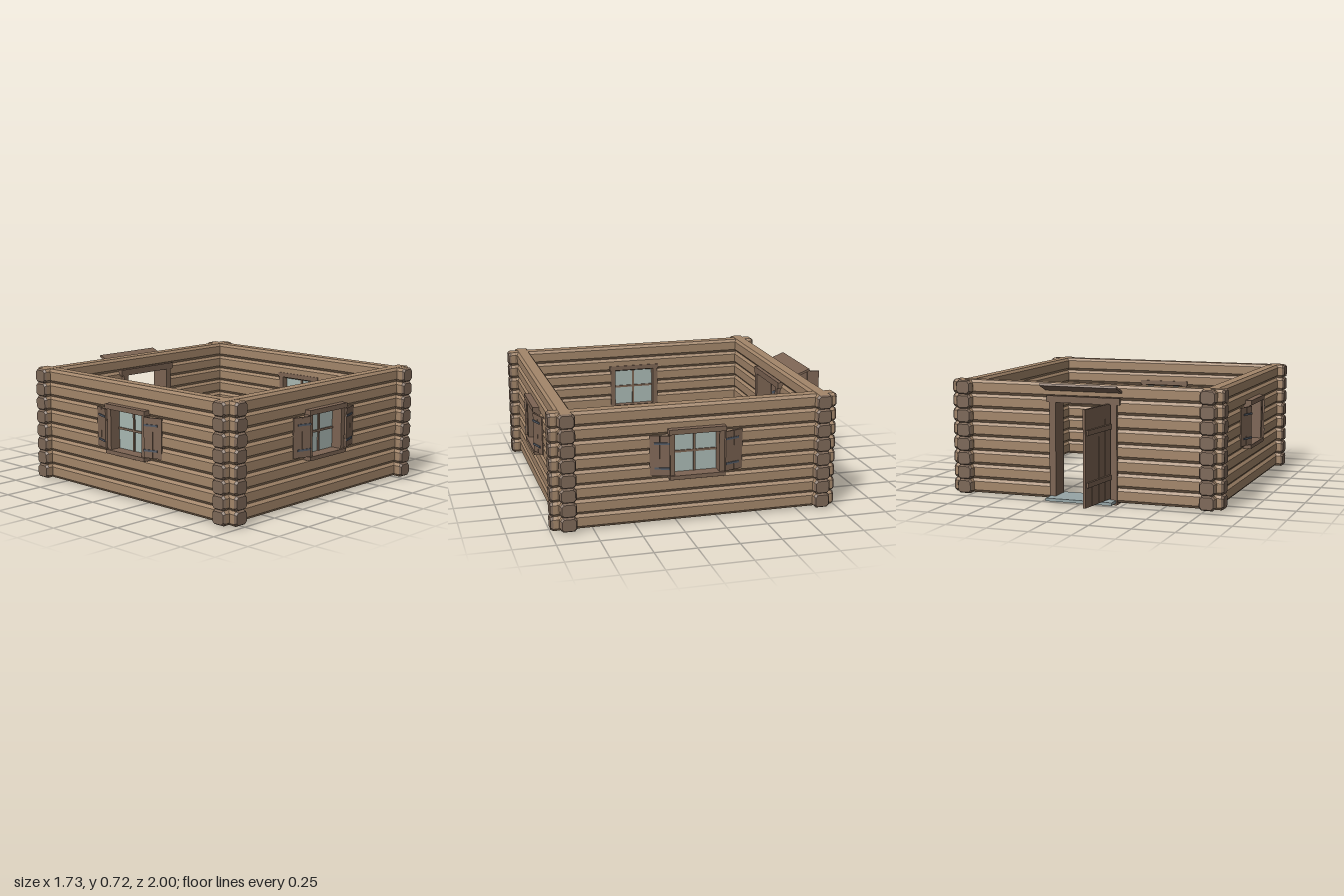
import * as THREE from 'three';

const mat = (name, color) => {
  const m = new THREE.MeshStandardMaterial({ color });
  m.name = name;
  return m;
};

export function createModel() {
  const wood = mat('logWood', 0xa3866a);
  const endWood = mat('logEndWood', 0x7d6858);
  const trim = mat('trimWood', 0x7c6453);
  const glass = mat('windowGlass', 0xa9b8b3);
  const metal = mat('darkIron', 0x545b66);
  const stone = mat('thresholdStone', 0x96a5a6);
  const model = new THREE.Group();
  model.name = 'logCabinWalls';

  const box = (parent, name, m, [w, h, d], [x, y, z]) => {
    const mesh = new THREE.Mesh(new THREE.BoxGeometry(w, h, d), m);
    mesh.name = name;
    mesh.position.set(x, y, z);
    parent.add(mesh);
    return mesh;
  };

  // Log cross-section: a chamfered rectangle, as [z, y]
  const W = 0.045, H = 0.0435;
  const section = [[W, 0.027], [0.031, H], [-0.031, H], [-W, 0.027],
    [-W, -0.027], [-0.031, -H], [0.031, -H], [W, -0.027]];

  // Log along x from a to b; free ends flare, then bevel to a darker cap
  const logGeometry = (a, b, freeA, freeB) => {
    const flare = [[0, 0.9, 0.82], [0.014, 1.1, 1], [0.04, 1.1, 1], [0.05, 1, 1]];
    const endA = freeA ? flare.map(([d, w, h]) => [a + d, w, h]) : [[a, 1, 1]];
    const endB = freeB ? flare.map(([d, w, h]) => [b - d, w, h]).reverse() : [[b, 1, 1]];
    const rings = [...endA, ...endB].map(([x, w, h]) =>
      section.map(([z, y]) => [x, y * h, z * w]));
    const body = [], caps = [], n = section.length, last = rings.length - 1;
    for (let i = 0; i < last; i++) {
      const out = (freeA && i === 0) || (freeB && i === last - 1) ? caps : body;
      for (let j = 0; j < n; j++) {
        const k = (j + 1) % n;
        const p = rings[i][j], q = rings[i + 1][j], r = rings[i + 1][k], s = rings[i][k];
        out.push(...p, ...q, ...r, ...p, ...r, ...s);
      }
    }
    for (let j = 1; j < n - 1; j++) {
      caps.push(...rings[0][0], ...rings[0][j], ...rings[0][j + 1]);
      caps.push(...rings[last][0], ...rings[last][j + 1], ...rings[last][j]);
    }
    const g = new THREE.BufferGeometry();
    g.setAttribute('position', new THREE.Float32BufferAttribute([...body, ...caps], 3));
    g.addGroup(0, body.length / 3, 0);
    g.addGroup(body.length / 3, caps.length / 3, 1);
    g.computeVertexNormals();
    return g;
  };

  // A wall of eight logs; rows from first to last are cut by an opening
  const wall = (name, a, b, cut) => {
    const g = new THREE.Group();
    g.name = name;
    for (let i = 0; i < 8; i++) {
      const open = i >= cut.first && i <= cut.last;
      const spans = open
        ? [[a, cut.from, true, false], [cut.to, b, false, true]]
        : [[a, b, true, true]];
      for (const s of spans) {
        const m = new THREE.Mesh(logGeometry(...s), [wood, endWood]);
        m.name = 'wallLog';
        m.position.y = 0.056 + i * 0.0877;
        g.add(m);
      }
    }
    model.add(g);
    return g;
  };
  const windowCut = (c) => ({ first: 3, last: 5, from: c - 0.15, to: c + 0.15 });
  wall('frontWall', -0.865, 0.865, windowCut(0)).position.z = 0.9;
  wall('backWall', -0.865, 0.865, { first: 0, last: 6, from: -0.195, to: 0.195 }).position.z = -0.645;
  for (const s of [-1, 1]) {
    const side = wall(s > 0 ? 'leftWall' : 'rightWall', -0.735, 1, windowCut(0.135));
    side.rotation.y = -Math.PI / 2;
    side.position.set(s * 0.775, -0.001, 0);
  }

  // Window facing +z, with glazing bars and two open shutters
  const makeWindow = (name, x, z, turn) => {
    const g = new THREE.Group();
    g.name = name;
    g.position.set(x, 0.42, z);
    g.rotation.y = turn;
    box(g, 'windowHeader', trim, [0.345, 0.03, 0.135], [0, 0.14, 0.0175]);
    box(g, 'windowSill', trim, [0.335, 0.024, 0.135], [0, -0.136, 0.0175]);
    box(g, 'windowPane', glass, [0.28, 0.26, 0.006], [0, 0, 0]);
    box(g, 'verticalBar', trim, [0.013, 0.26, 0.022], [0, 0, 0]);
    box(g, 'horizontalBar', trim, [0.28, 0.013, 0.02], [0, 0, 0]);
    for (const s of [-1, 1]) {
      box(g, 'windowJamb', trim, [0.032, 0.26, 0.12], [s * 0.15, 0, 0.012]);
      const shutter = new THREE.Group();
      shutter.name = 'shutter';
      shutter.position.set(s * 0.165, 0, 0.08);
      shutter.rotation.y = s * 0.31;
      for (const px of [0.03, 0.09])
        box(shutter, 'shutterPlank', trim, [0.058, 0.24, 0.012], [s * px, 0, 0]);
      for (const y of [-0.075, 0.075])
        box(shutter, 'shutterStrap', metal, [0.09, 0.012, 0.006], [s * 0.047, y, 0.008]);
      g.add(shutter);
    }
    model.add(g);
  };
  makeWindow('frontWindow', 0, 0.9, 0);
  makeWindow('leftWindow', 0.775, 0.135, Math.PI / 2);
  makeWindow('rightWindow', -0.775, 0.135, -Math.PI / 2);

  // Doorway
  for (const s of [-1, 1])
    box(model, 'doorPost', trim, [0.04, 0.61, 0.125], [s * 0.195, 0.305, -0.64]);
  box(model, 'doorHeader', trim, [0.465, 0.04, 0.125], [0, 0.618, -0.64]);
  box(model, 'threshold', stone, [0.42, 0.018, 0.22], [0, 0.021, -0.67]);
  const canopy = box(model, 'doorCanopy', trim, [0.485, 0.014, 0.115], [0, 0.692, -0.732]);
  canopy.rotation.x = 0.37;

  // Open plank door, hinged on the model's right
  const door = new THREE.Group();
  door.name = 'door';
  door.position.set(-0.165, 0.32, -0.675);
  door.rotation.y = 1.45;
  for (let i = 0; i < 4; i++)
    box(door, 'doorPlank', trim, [0.079, 0.57, 0.016], [0.041 + i * 0.0815, 0, 0]);
  for (const y of [-0.153, 0.15]) {
    box(door, 'doorBatten', trim, [0.3, 0.03, 0.012], [0.163, y, -0.014]);
    box(door, 'doorStrap', metal, [0.24, 0.018, 0.008], [0.125, y, 0.011]);
  }
  box(door, 'doorLatch', metal, [0.025, 0.045, 0.018], [0.28, -0.015, 0.014]);
  model.add(door);

  return model;
}
